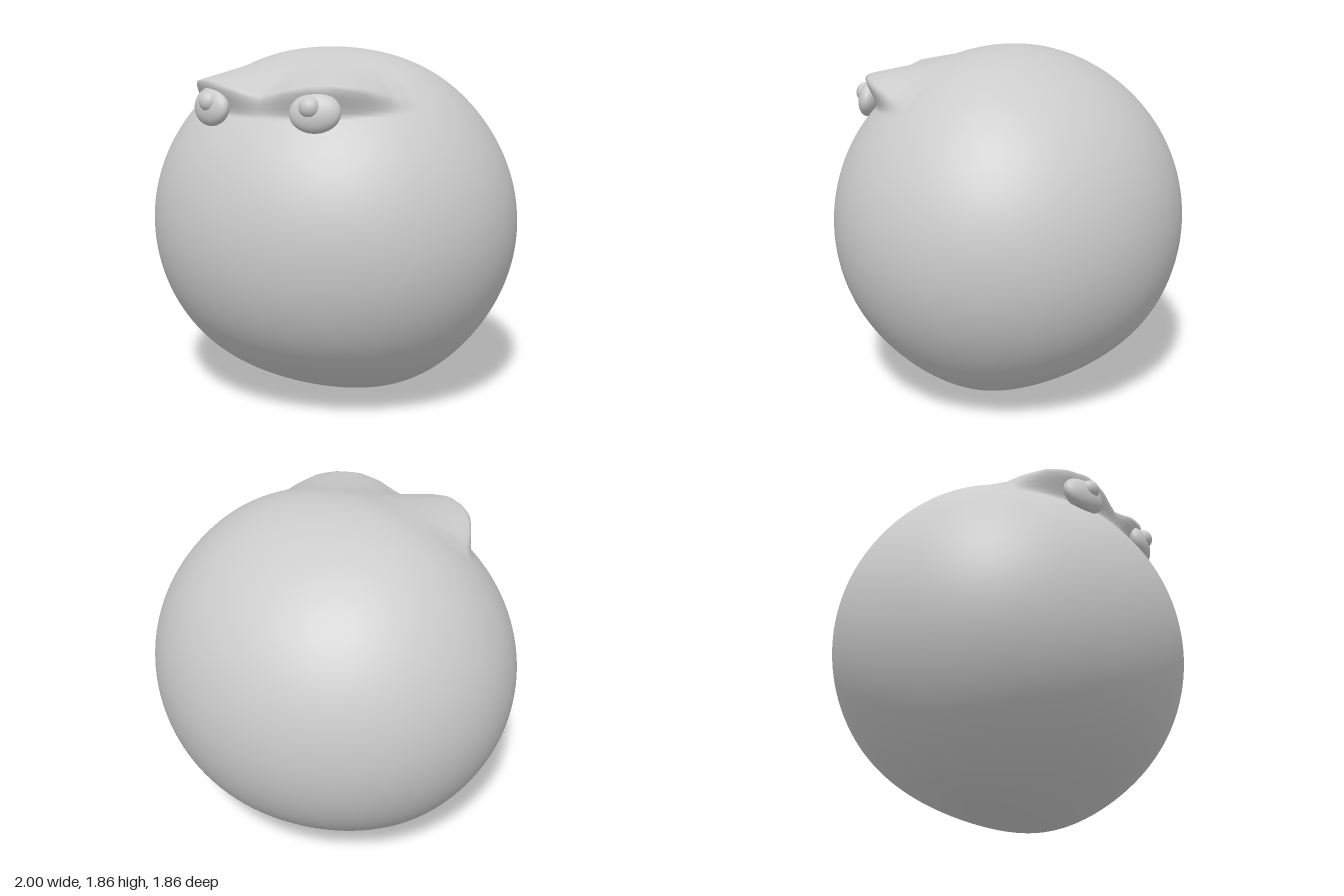
import * as THREE from 'three';
import { mergeVertices } from 'three/addons/utils/BufferGeometryUtils.js';

const DEG = 180 / Math.PI;
const CENTER_Y = 0.93;
const material = new THREE.MeshStandardMaterial({ color: 0xcccccc, roughness: 0.7 });

// Height of the brow ridge by azimuth (degrees away from the front)
const ridge = [[0, 0.065], [6, 0.085], [12, 0.115], [23, 0.15], [32, 0.145], [41, 0.12], [50, 0.07], [57, 0.025], [66, 0]];

function ridgeHeight(azimuth) {
  for (let i = 1; i < ridge.length; i++) {
    const [a0, h0] = ridge[i - 1], [a1, h1] = ridge[i];
    if (azimuth <= a1) return THREE.MathUtils.lerp(h0, h1, (azimuth - a0) / (a1 - a0));
  }
  return 0;
}

// Sharp overhang below the lip, long gentle slope towards the crown
function ridgeProfile(elevation) {
  const lip = 46;
  if (elevation < lip) return THREE.MathUtils.smoothstep(elevation, 41.5, lip);
  return Math.max(0, 1 - (elevation - lip) / 27) ** 2;
}

// Ball body, pinched in depth at the bottom, with the brow pushed outwards
function bodyGeometry() {
  const sphere = new THREE.SphereGeometry(1, 160, 200);
  sphere.deleteAttribute('uv');
  sphere.deleteAttribute('normal');
  const geometry = mergeVertices(sphere, 1e-5);
  const pos = geometry.attributes.position;
  const p = new THREE.Vector3();
  for (let i = 0; i < pos.count; i++) {
    p.fromBufferAttribute(pos, i);
    const pole = p.y ** 6;
    p.x *= 1 + 0.15 * pole;
    p.y *= 0.93;
    p.z *= 0.93 * (1 - (p.y < 0 ? 0.3 : 0.06) * pole);
    const azimuth = Math.abs(Math.atan2(p.x, p.z)) * DEG;
    const elevation = Math.atan2(p.y, Math.hypot(p.x, p.z)) * DEG;
    const r = p.length();
    p.multiplyScalar((r + ridgeHeight(azimuth) * ridgeProfile(elevation)) / r);
    pos.setXYZ(i, p.x, p.y + CENTER_Y, p.z);
  }
  geometry.computeVertexNormals();
  return geometry;
}

// Flattened eyeball with a small round pupil under the brow
function makeEye(side) {
  const eye = new THREE.Group();
  eye.name = side > 0 ? 'leftEye' : 'rightEye';

  const eyeball = new THREE.Mesh(new THREE.SphereGeometry(1, 40, 28), material);
  eyeball.name = 'eyeball';
  eyeball.scale.set(0.127, 0.098, 0.058);
  eyeball.position.set(side * 0.305, 1.582, 0.672);
  eyeball.rotation.set(-0.2, side * 0.3, side * 0.12);

  const pupil = new THREE.Mesh(new THREE.SphereGeometry(0.054, 28, 20), material);
  pupil.name = 'pupil';
  pupil.position.set(side * 0.295, 1.61, 0.702);

  eye.add(eyeball, pupil);
  return eye;
}

export function createModel() {
  const model = new THREE.Group();
  model.name = 'roundCreature';
  const body = new THREE.Mesh(bodyGeometry(), material);
  body.name = 'body';
  model.add(body, makeEye(1), makeEye(-1));
  return model;
}
